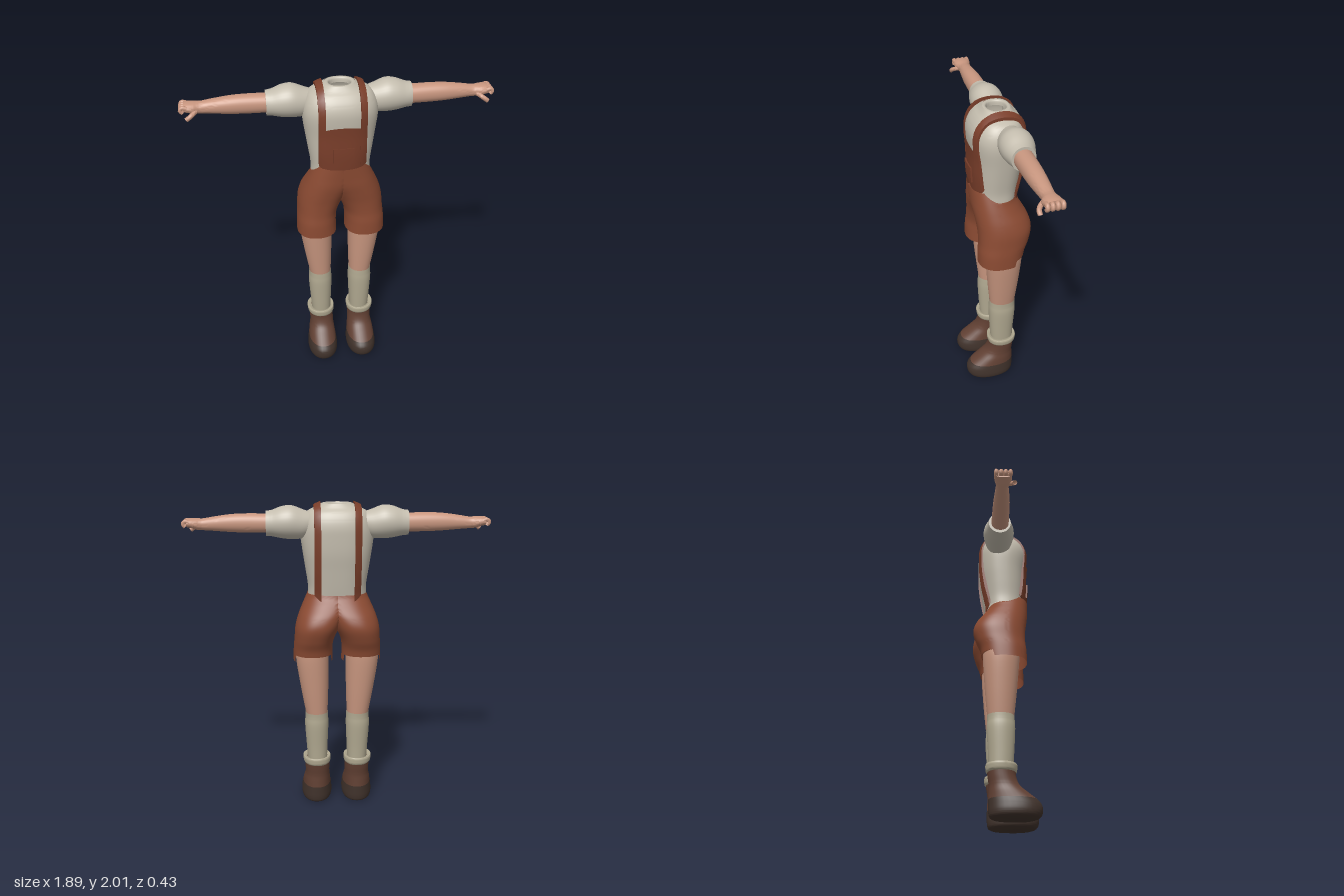
import * as THREE from 'three';
import { toCreasedNormals } from 'three/addons/utils/BufferGeometryUtils.js';

const COLORS = {
  skin: 0xc8967f, shirt: 0xc4bdae, shorts: 0x8a4a32, strap: 0x7a3e2a,
  sock: 0xb0a890, boot: 0x614033, sole: 0x40322b,
};
const mats = {};
for (const k in COLORS) {
  mats[k] = new THREE.MeshStandardMaterial({ color: COLORS[k], side: THREE.DoubleSide });
}

// Catmull-Rom through table rows at fractional index k
function sample(keys, k) {
  const i = Math.min(Math.floor(k), keys.length - 2), f = k - i;
  const a = keys[Math.max(i - 1, 0)], b = keys[i], c = keys[i + 1], d = keys[Math.min(i + 2, keys.length - 1)];
  return b.map((p, j) => p + 0.5 * f * (c[j] - a[j]
    + f * (2 * a[j] - 5 * p + 4 * c[j] - d[j] + f * (3 * (p - c[j]) + d[j] - a[j]))));
}

// Skin a list of closed rings of points
function skin(rings, flip = false) {
  const n = rings[0].length, pos = rings.flat(2), idx = [];
  for (let i = 0; i < rings.length - 1; i++) {
    for (let j = 0; j < n; j++) {
      const a = i * n + j, b = i * n + (j + 1) % n, c = a + n, d = b + n;
      if (flip) idx.push(a, b, c, b, d, c);
      else idx.push(a, c, b, b, c, d);
    }
  }
  const g = new THREE.BufferGeometry();
  g.setAttribute('position', new THREE.Float32BufferAttribute(pos, 3));
  g.setIndex(idx);
  return g;
}

// Rows [t, u0, u1, v0, v1] give the position and extents of superellipse sections
function loft(keys, { n = 32, sub = 5, p = 2.2, map = (t, u, v) => [u, t, v], flip = false, capStart = false, capEnd = false } = {}) {
  const rings = [];
  const steps = (keys.length - 1) * sub;
  const ring = (r, s) => Array.from({ length: n }, (_, j) => {
    const th = (j / n) * Math.PI * 2, c = Math.cos(th), d = Math.sin(th);
    const e = (w) => Math.sign(w) * Math.pow(Math.abs(w), 2 / p) * s;
    return map(r[0], (r[1] + r[2]) / 2 + (r[2] - r[1]) / 2 * e(c), (r[3] + r[4]) / 2 + (r[4] - r[3]) / 2 * e(d));
  });
  if (capStart) rings.push(ring(keys[0], 0));
  for (let i = 0; i <= steps; i++) rings.push(ring(sample(keys, i / sub), 1));
  if (capEnd) rings.push(ring(keys[keys.length - 1], 0));
  return skin(rings, flip);
}
const alongX = { map: (t, u, v) => [t, u, v], flip: true };

// Torso rows: y, x extents, z extents
const P = 2.4;
const TORSO = [
  [1.44, 0.185, 0.115, -0.14], [1.5, 0.185, 0.12, -0.15], [1.6, 0.2, 0.125, -0.165],
  [1.7, 0.215, 0.13, -0.18], [1.8, 0.228, 0.14, -0.186], [1.86, 0.226, 0.14, -0.186],
  [1.91, 0.212, 0.125, -0.176], [1.95, 0.185, 0.098, -0.156], [1.975, 0.14, 0.07, -0.13],
  [2.0, 0.092, 0.05, -0.112],
].map(([y, w, f, b]) => [y, -w, w, b, f]);

function insideTorso(x, y, z) {
  if (y > 2) return false;
  let i = 0;
  while (i < TORSO.length - 2 && y > TORSO[i + 1][0]) i++;
  const f = Math.max(0, (y - TORSO[i][0]) / (TORSO[i + 1][0] - TORSO[i][0]));
  const [, , w, b, fr] = sample(TORSO, i + f);
  return Math.abs(x / w) ** P + Math.abs((z - (b + fr) / 2) / ((fr - b) / 2)) ** P < 1;
}

// Point on the torso in the slice at x, at an angle from forward (degrees), lifted by off
function onTorso(x, deg, off) {
  const a = THREE.MathUtils.degToRad(deg);
  let lo = 0, hi = 0.7;
  for (let i = 0; i < 22; i++) {
    const m = (lo + hi) / 2;
    if (insideTorso(x, 1.6 + Math.sin(a) * m, -0.02 + Math.cos(a) * m)) lo = m; else hi = m;
  }
  return [x, 1.6 + Math.sin(a) * (lo + off), -0.02 + Math.cos(a) * (lo + off)];
}

// Thick band lying on the torso between two x positions and two angles
function band(x0, x1, a0, a1, off, rows, cols) {
  const rings = [];
  for (let i = 0; i <= rows; i++) {
    const a = a0 + (a1 - a0) * i / rows, outer = [], inner = [];
    for (let j = 0; j <= cols; j++) {
      const x = x0 + (x1 - x0) * j / cols;
      outer.push(onTorso(x, a, off));
      inner.unshift(onTorso(x, a, -0.004));
    }
    const ring = [...outer, ...inner];
    if (i === 0) rings.push(ring.map(() => inner[0]).map((_, k) => (k <= cols ? inner[cols - k] : ring[k])));
    rings.push(ring);
    if (i === rows) rings.push(ring.map((q, k) => (k <= cols ? inner[cols - k] : q)));
  }
  return skin(rings, true);
}

function mirrored(geo) {
  const g = geo.clone().scale(-1, 1, 1), a = g.index.array;
  for (let i = 0; i < a.length; i += 3) [a[i], a[i + 1]] = [a[i + 1], a[i]];
  return g;
}

export function createModel() {
  const model = new THREE.Group();
  const add = (name, geo, mat) => {
    const m = new THREE.Mesh(toCreasedNormals(geo, 0.9), mats[mat]);
    m.name = name;
    model.add(m);
  };
  const pair = (name, geo, mat) => {
    add(name + 'Left', geo, mat);
    add(name + 'Right', mirrored(geo), mat);
  };

  // Shirt body and the turned-in neck rim
  add('shirt', loft(TORSO, { n: 64, p: P }), 'shirt');
  add('collar', loft([
    [1.985, -0.1, 0.1, -0.118, 0.056], [2.0, -0.09, 0.09, -0.11, 0.048],
    [1.998, -0.068, 0.068, -0.092, 0.03], [1.97, -0.064, 0.064, -0.088, 0.026],
  ], { n: 40, sub: 3 }), 'shirt');

  // Puffed sleeves and arms
  pair('sleeve', loft([
    [0.15, 1.82, 1.945, -0.12, 0.0], [0.21, 1.79, 1.965, -0.143, 0.025], [0.28, 1.785, 1.99, -0.16, 0.04],
    [0.34, 1.79, 1.985, -0.157, 0.038], [0.4, 1.802, 1.963, -0.14, 0.024], [0.437, 1.805, 1.957, -0.13, 0.014],
  ], { ...alongX, p: 2, capEnd: true }), 'shirt');
  pair('arm', loft([
    [0.42, 1.825, 1.94, -0.113, 0.0], [0.55, 1.826, 1.942, -0.111, -0.002], [0.65, 1.83, 1.938, -0.108, -0.005],
    [0.75, 1.838, 1.925, -0.102, -0.014], [0.82, 1.843, 1.914, -0.099, -0.02], [0.86, 1.846, 1.916, -0.108, -0.006],
    [0.89, 1.856, 1.916, -0.113, -0.004], [0.915, 1.862, 1.912, -0.113, -0.006],
  ], { ...alongX, capEnd: true }), 'skin');

  // Short curled fingers and thumb
  for (let i = 0; i < 4; i++) {
    const z = -0.1 + i * 0.028;
    const curl = new THREE.CatmullRomCurve3([
      [0.895, 1.892], [0.925, 1.898], [0.934, 1.883], [0.92, 1.868],
    ].map(([x, y]) => new THREE.Vector3(x, y, z)));
    pair('finger' + (i + 1), new THREE.TubeGeometry(curl, 10, 0.0135, 10), 'skin');
  }
  const thumb = [[0.84, 1.873, -0.03], [0.865, 1.86, 0.0], [0.885, 1.848, 0.012], [0.903, 1.835, 0.012]];
  pair('thumb', new THREE.TubeGeometry(
    new THREE.CatmullRomCurve3(thumb.map((q) => new THREE.Vector3(...q))), 10, 0.014, 10), 'skin');

  // Shorts: each half is clamped at the centre line; high front waist, raised back hem
  pair('shorts', loft([
    [1.0, 0.028, 0.282, -0.155, 0.13], [1.08, 0.03, 0.28, -0.167, 0.128], [1.15, 0.02, 0.274, -0.195, 0.121],
    [1.23, -0.017, 0.267, -0.215, 0.122], [1.3, -0.06, 0.248, -0.2, 0.13], [1.37, -0.115, 0.218, -0.16, 0.14],
    [1.43, -0.15, 0.19, -0.126, 0.144], [1.5, -0.158, 0.158, -0.12, 0.148],
  ], {
    n: 72, sub: 7, p: 2.3,
    map: (y, x, z) => {
      const waist = THREE.MathUtils.lerp(1.445, 1.5, THREE.MathUtils.smoothstep(z, 0.0, 0.05));
      return [Math.max(x, 0), Math.max(Math.min(y, waist), z < -0.085 ? 1.045 : 1), z];
    },
  }), 'shorts');

  // Bib, pocket and shoulder straps
  add('bib', band(-0.142, 0.142, -38, 47, 0.016, 16, 16), 'strap');
  add('pocket', band(-0.064, 0.064, -20, 15, 0.026, 6, 8), 'strap');
  pair('strap', band(0.104, 0.145, -36, 240, 0.019, 70, 4), 'strap');

  // Legs and socks
  pair('leg', loft([
    [0.62, 0.064, 0.203, -0.117, 0.046], [0.8, 0.058, 0.235, -0.135, 0.064],
    [1.0, 0.055, 0.265, -0.15, 0.08], [1.1, 0.055, 0.265, -0.15, 0.085],
  ]), 'skin');
  pair('sock', loft([
    [0.29, 0.068, 0.195, -0.108, 0.04], [0.4, 0.064, 0.203, -0.112, 0.047],
    [0.55, 0.058, 0.213, -0.122, 0.054], [0.61, 0.06, 0.21, -0.12, 0.052], [0.645, 0.062, 0.21, -0.121, 0.05],
  ]), 'sock');
  pair('sockCuff', loft([
    [0.275, 0.06, 0.205, -0.115, 0.05], [0.288, 0.047, 0.222, -0.125, 0.062], [0.322, 0.044, 0.228, -0.128, 0.066],
    [0.331, 0.05, 0.222, -0.122, 0.06], [0.324, 0.066, 0.2, -0.108, 0.042],
  ]), 'sock');

  // Rounded boots with dark lower parts
  pair('boot', loft([
    [0.115, 0.042, 0.228, -0.109, 0.188], [0.155, 0.047, 0.222, -0.107, 0.135], [0.2, 0.052, 0.213, -0.106, 0.083],
    [0.25, 0.052, 0.213, -0.113, 0.06], [0.3, 0.051, 0.215, -0.12, 0.056],
  ]), 'boot');
  pair('bootSole', loft([
    [0.0, 0.06, 0.21, -0.085, 0.17], [0.012, 0.042, 0.23, -0.102, 0.2], [0.04, 0.035, 0.237, -0.108, 0.214],
    [0.08, 0.037, 0.234, -0.109, 0.212], [0.115, 0.042, 0.228, -0.109, 0.188],
  ], { capStart: true }), 'sole');

  return model;
}
